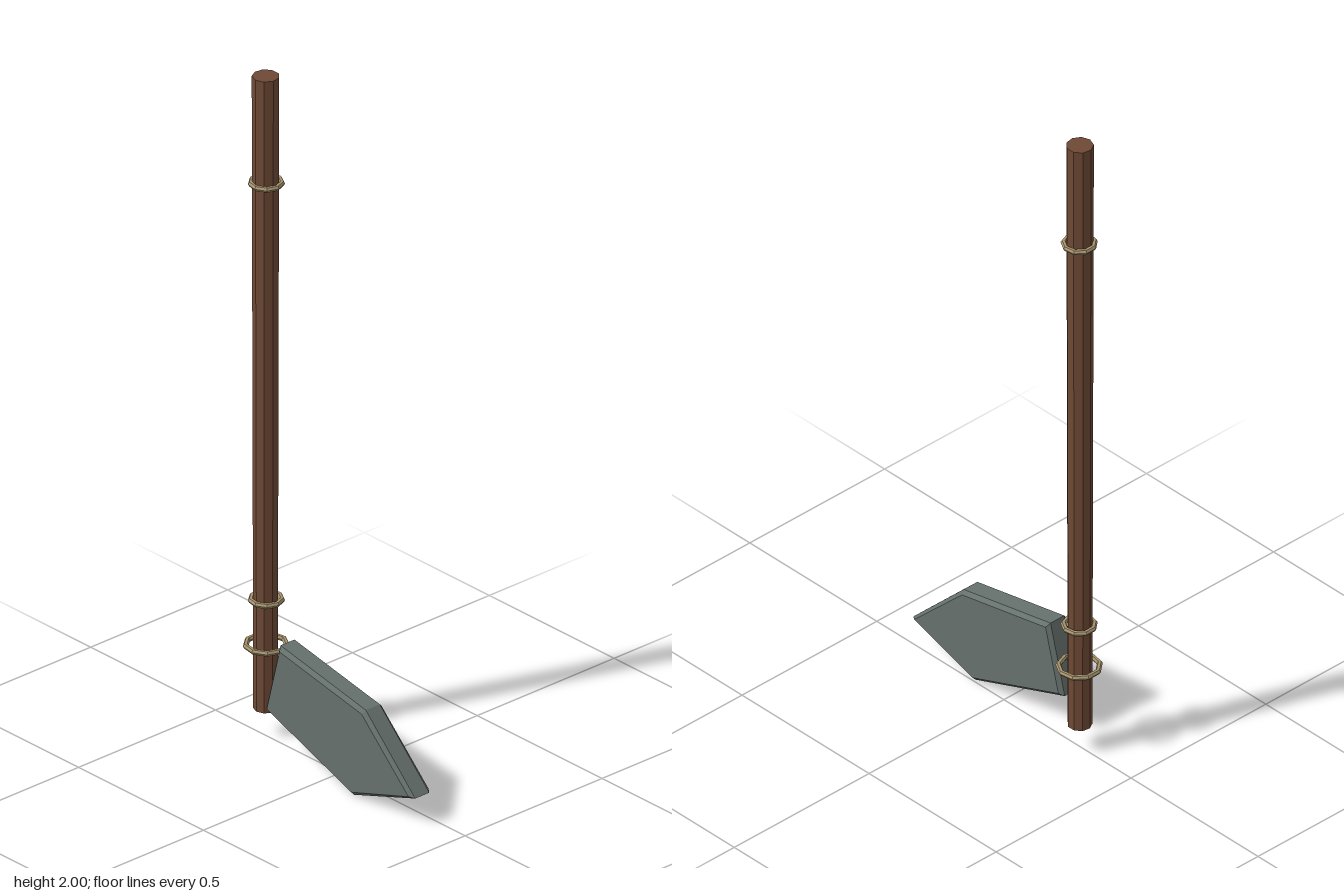
import * as THREE from 'three';

const flat = (name, color) => {
  const m = new THREE.MeshStandardMaterial({ color });
  m.name = name;
  m.flatShading = true;
  return m;
};

export function createModel() {
  const wood = flat('brown wood', 0x6f4a36);
  const rope = flat('tan binding', 0xa8946f);
  const stone = flat('grey stone', 0x66716d);

  const group = new THREE.Group();
  const add = (name, geometry, material, x, y, z) => {
    const mesh = new THREE.Mesh(geometry, material);
    mesh.name = name;
    mesh.position.set(x, y, z);
    group.add(mesh);
    return mesh;
  };

  // Slightly tapered pole
  const px = -0.304, pz = -0.005;
  add('shaft', new THREE.CylinderGeometry(0.038, 0.034, 1.92, 9), wood, px, 1.04, pz);

  // Bindings around the pole: name, height, ring radius
  for (const [name, y, r] of [
    ['upperBinding', 1.675, 0.043],
    ['middleBinding', 0.41, 0.043],
    ['lowerBinding', 0.273, 0.057],
  ]) {
    const ring = new THREE.TorusGeometry(r, 0.008, 6, 9).rotateX(Math.PI / 2);
    add(name, ring, rope, px, y, pz - 0.002);
  }

  // Bevelled five-sided blade beside the foot of the pole
  const outline = [[-0.175, 0.341], [-0.231, 0.128], [0.12, 0], [0.365, 0.082], [0.167, 0.275]];
  const bevel = 0.011;
  const blade = new THREE.ExtrudeGeometry(
    new THREE.Shape(outline.map(([x, y]) => new THREE.Vector2(x, y))),
    {
      depth: 0.073 - 2 * bevel, bevelEnabled: true, bevelSegments: 1,
      bevelThickness: bevel, bevelSize: bevel, bevelOffset: -bevel,
    });
  add('blade', blade, stone, 0, 0, -0.003 + bevel);

  return group;
}
